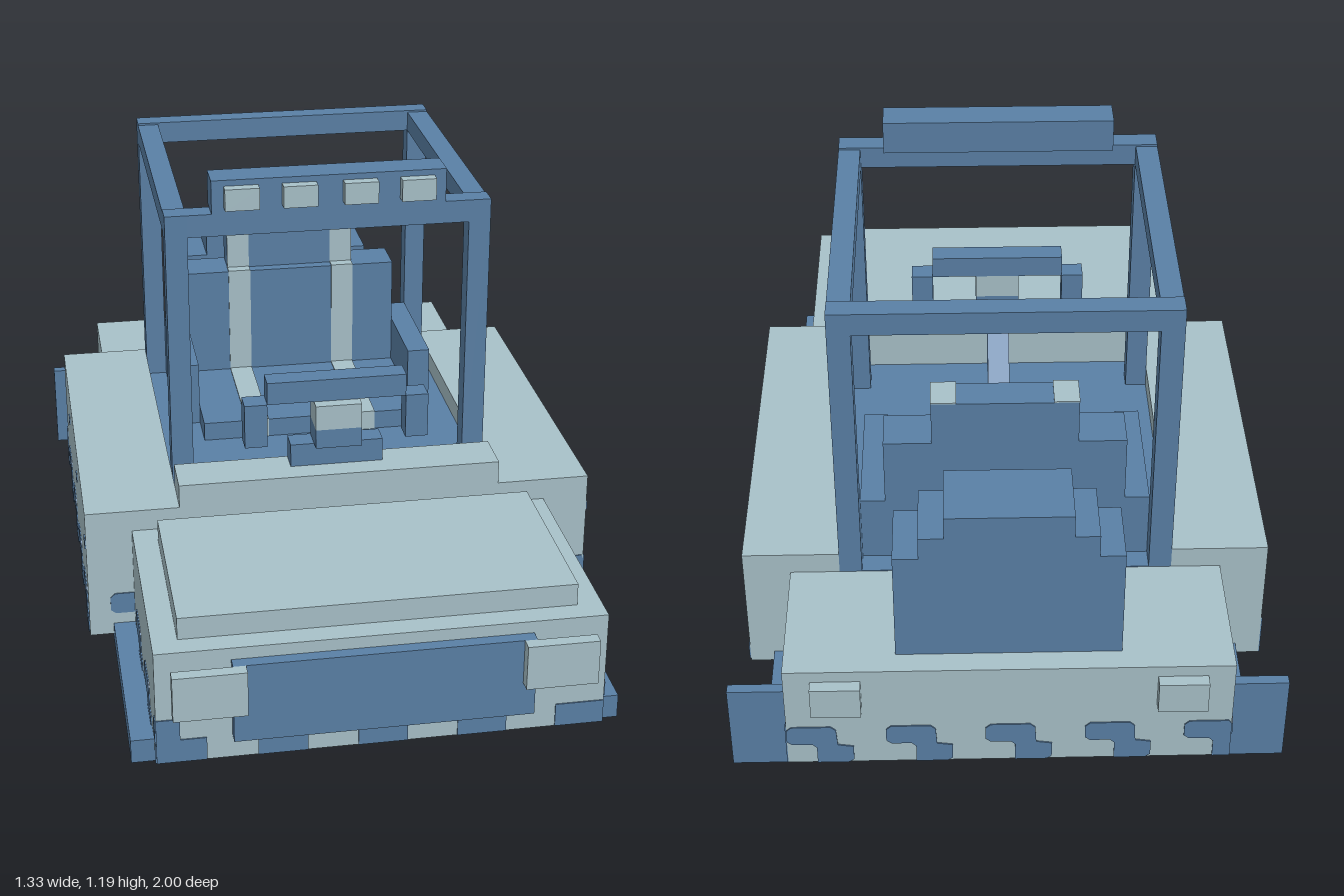
import * as THREE from 'three';

const pale = new THREE.MeshStandardMaterial({ color: 0xa8c1c9 });
pale.name = 'paleGrey';
const blue = new THREE.MeshStandardMaterial({ color: 0x5a80a6 });
blue.name = 'steelBlue';

export function createModel() {
  const model = new THREE.Group();
  model.name = 'buggy';

  // Box from its limits on each axis
  const box = (name, mat, [x0, x1], [y0, y1], [z0, z1]) => {
    const mesh = new THREE.Mesh(new THREE.BoxGeometry(x1 - x0, y1 - y0, z1 - z0), mat);
    mesh.position.set((x0 + x1) / 2, (y0 + y1) / 2, (z0 + z1) / 2);
    mesh.name = name;
    model.add(mesh);
    return mesh;
  };
  // Same box on both sides
  const pair = (name, mat, [x0, x1], y, z) => {
    box(name + 'Left', mat, [x0, x1], y, z);
    box(name + 'Right', mat, [-x1, -x0], y, z);
  };
  const wide = (w) => [-w, w];

  // Hull
  box('chassis', blue, wide(0.58), [0.03, 0.09], [-0.795, 0.885]);
  box('frontBody', pale, wide(0.525), [0.06, 0.35], [0.36, 0.94]);
  box('hoodPanel', pale, wide(0.465), [0.35, 0.405], [0.42, 0.885]);
  box('middleBody', pale, wide(0.64), [0.06, 0.345], [-0.62, 0.364]);
  box('rearBody', pale, wide(0.525), [0.06, 0.35], [-0.97, -0.62]);
  pair('sidePanel', pale, [0.405, 0.64], [0.345, 0.405], [-0.62, 0.364]);
  box('cowl', pale, wide(0.405), [0.345, 0.465], [0.246, 0.364]);
  box('cockpitFloor', blue, wide(0.405), [0.345, 0.352], [-0.62, 0.246]);

  // Nose and tail fittings
  box('grille', blue, wide(0.35), [0.12, 0.32], [0.94, 0.97]);
  pair('headlight', pale, [0.32, 0.49], [0.207, 0.32], [0.97, 1.0]);
  pair('tailLight', pale, [0.345, 0.462], [0.235, 0.32], [-1.0, -0.97]);
  pair('mudFlap', blue, [0.495, 0.665], [0, 0.235], [-0.912, -0.886]);

  // Stepped pack on the rear deck
  const packDepth = [-0.914, -0.742];
  box('packBase', blue, wide(0.264), [0.35, 0.64], packDepth);
  box('packMiddle', blue, wide(0.205), [0.64, 0.698], packDepth);
  box('packTop', blue, wide(0.147), [0.698, 0.756], packDepth);

  // Roll cage
  const post = [0.35, 0.405];
  pair('frontPost', blue, post, [0.35, 1.105], [0.135, 0.19]);
  pair('rearPost', blue, post, [0.35, 1.105], [-0.62, -0.565]);
  pair('roofRail', blue, post, [1.048, 1.1], [-0.565, 0.135]);
  box('frontCrossbar', blue, wide(0.35), [1.048, 1.105], [0.135, 0.19]);
  box('rearCrossbar', blue, wide(0.35), [1.048, 1.105], [-0.62, -0.565]);
  box('lightBar', blue, wide(0.29), [1.105, 1.19], [0.107, 0.19]);
  pair('innerRoofLight', pale, [0.033, 0.117], [1.12, 1.175], [0.19, 0.218]);
  pair('outerRoofLight', pale, [0.175, 0.26], [1.12, 1.175], [0.19, 0.218]);

  // Seat with pale stripes
  box('seatCushion', blue, wide(0.29), [0.352, 0.402], [-0.45, -0.105]);
  box('seatBack', blue, wide(0.29), [0.352, 0.698], [-0.565, -0.452]);
  box('headrest', blue, wide(0.175), [0.698, 0.812], [-0.565, -0.482]);
  pair('armrest', blue, [0.29, 0.35], [0.352, 0.525], [-0.565, -0.217]);
  const stripe = [0.115, 0.176];
  pair('cushionStripe', pale, stripe, [0.402, 0.405], [-0.45, -0.105]);
  pair('cushionFrontStripe', pale, stripe, [0.352, 0.405], [-0.105, -0.102]);
  pair('backStripe', pale, stripe, [0.405, 0.701], [-0.452, -0.449]);
  pair('backTopStripe', pale, stripe, [0.698, 0.701], [-0.482, -0.452]);
  pair('headrestStripe', pale, stripe, [0.698, 0.815], [-0.482, -0.479]);
  pair('headrestTopStripe', pale, stripe, [0.812, 0.815], [-0.565, -0.482]);

  // Steering wheel of blocks, hub and tilted column
  const rim = [0.248, 0.305];
  box('wheelTop', blue, wide(0.175), [0.64, 0.698], rim);
  box('wheelBottom', blue, wide(0.117), [0.465, 0.525], rim);
  pair('wheelSide', blue, [0.175, 0.232], [0.525, 0.64], rim);
  box('hubTop', pale, wide(0.058), [0.575, 0.64], [0.248, 0.335]);
  box('hubBottom', blue, wide(0.058), [0.525, 0.575], [0.248, 0.335]);
  const column = new THREE.Mesh(new THREE.BoxGeometry(0.058, 0.233, 0.117), blue);
  column.name = 'steeringColumn';
  column.position.set(0, 0.406, 0.139);
  column.rotation.x = Math.PI / 4;
  model.add(column);

  // Camouflage blobs: thin plates along one face, cut off at the face's ends
  const blob = [
    [0, 0.13], [0.012, 0.12], [0.06, 0.12], [0.07, 0.11], [0.07, 0.061], [0.145, 0.061],
    [0.157, 0.07], [0.157, 0.112], [0.12, 0.118], [0.117, 0.165], [0.105, 0.176], [0.012, 0.176], [0, 0.165],
  ];
  const camo = (name, turn, distance, [lo, hi], start) => {
    const face = new THREE.Group();
    face.name = name;
    face.rotation.y = turn;
    for (let u = start; u < hi; u += 0.2345) {
      if (u + 0.157 <= lo + 0.005) continue;
      const points = blob.map(([a, y]) =>
        new THREE.Vector2(THREE.MathUtils.clamp(u + a, lo, hi), y));
      const unique = points.filter((p, i) => !p.equals(points[(i + 1) % points.length]));
      const plate = new THREE.Mesh(
        new THREE.ExtrudeGeometry(new THREE.Shape(unique), { depth: 0.003, bevelEnabled: false }), blue);
      plate.name = 'camoPatch';
      plate.position.z = distance;
      face.add(plate);
    }
    model.add(face);
  };
  const right = Math.PI / 2;
  for (const [part, distance, lo, hi] of [
    ['front', 0.525, -0.94, -0.364], ['middle', 0.64, -0.364, 0.62], ['rear', 0.525, 0.62, 0.97],
  ]) {
    camo(part + 'CamoLeft', right, distance, [lo, hi], -0.937);
    camo(part + 'CamoRight', -right, distance, [-hi, -lo], -0.97);
  }
  camo('tailCamo', Math.PI, 0.97, [-0.525, 0.525], -0.525);
  camo('shoulderCamoRight', 0, 0.364, [-0.64, -0.525], -0.82);
  camo('shoulderCamoLeft', 0, 0.364, [0.525, 0.64], 0.53);

  // Square patches along the nose
  for (let i = 0; i < 5; i++) {
    const x = -0.525 + i * 0.2335;
    box('noseCamo', blue, [x, x + 0.116], [0.061, 0.12], [0.94, 0.943]);
  }
  box('noseCamoEnd', blue, [-0.525, -0.47], [0.12, 0.175], [0.94, 0.943]);

  // Small spots high on the sides
  for (const [z0, z1] of [[0.328, 0.362], [-0.022, 0.002], [-0.372, -0.35]]) {
    pair('sideSpot', blue, [0.64, 0.643], [0.308, 0.332], [z0, z1]);
  }
  return model;
}
